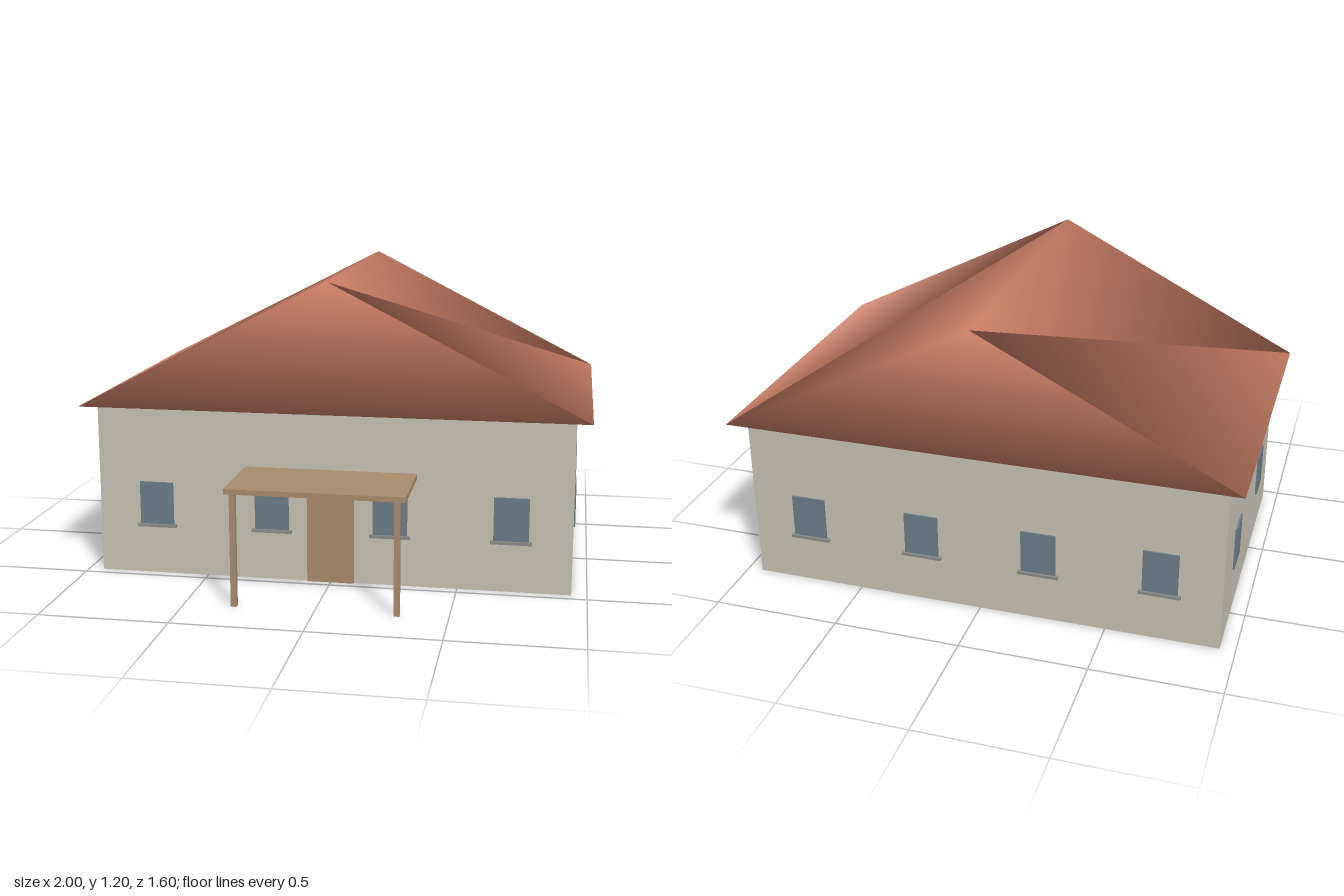
import * as THREE from 'three';

const mat = (color) => new THREE.MeshStandardMaterial({ color });

export function createModel() {
  const house = new THREE.Group();
  house.name = 'house';
  const wall = mat(0xc8c2b4), roofTile = mat(0xc67c63), wood = mat(0xa88c6c);
  const glass = mat(0x6d7d88), stone = mat(0x8c8c8a);

  // Box given by its extents on each axis
  function box(name, material, [x0, x1], [y0, y1], [z0, z1], parent = house) {
    const mesh = new THREE.Mesh(new THREE.BoxGeometry(x1 - x0, y1 - y0, z1 - z0), material);
    mesh.position.set((x0 + x1) / 2, (y0 + y1) / 2, (z0 + z1) / 2);
    mesh.name = name;
    parent.add(mesh);
    return mesh;
  }

  box('walls', wall, [-0.94, 0.94], [0, 0.685], [-0.74, 0.46]);

  // Gable roof: a triangular prism with shared corners for soft shading
  const corners = [];
  for (const z of [0.515, -0.8]) corners.push(-1, 0.685, z, 1, 0.685, z, 0, 1.195, z);
  const prism = new THREE.BufferGeometry();
  prism.setAttribute('position', new THREE.Float32BufferAttribute(corners, 3));
  prism.setIndex([
    0, 1, 2, 4, 3, 5, // gables
    1, 4, 2, 4, 5, 2, // right slope
    0, 2, 5, 0, 5, 3, // left slope
    0, 3, 4, 0, 4, 1, // underside
  ]);
  prism.computeVertexNormals();
  const roof = new THREE.Mesh(prism, roofTile);
  roof.name = 'roof';
  house.add(roof);

  // Front door
  box('door', wood, [-0.093, 0.093], [0, 0.377], [0.455, 0.468]);

  // Window built facing +z, then placed on a wall
  function addWindow(name, x, z, turn, withSill) {
    const win = new THREE.Group();
    win.name = name;
    box('pane', glass, [-0.068, 0.068], [0.205, 0.377], [-0.005, 0.007], win);
    if (withSill) box('sill', stone, [-0.08, 0.08], [0.193, 0.205], [-0.005, 0.015], win);
    win.position.set(x, 0, z);
    win.rotation.y = turn;
    house.add(win);
  }
  for (const x of [-0.705, -0.235, 0.235, 0.705]) {
    addWindow('frontWindow', x, 0.46, 0, true);
    addWindow('backWindow', x, -0.74, Math.PI, true);
  }
  for (const z of [0.16, -0.44]) {
    addWindow('leftWindow', 0.94, z, Math.PI / 2, false);
    addWindow('rightWindow', -0.94, z, -Math.PI / 2, false);
  }

  // Porch canopy on two posts
  const porch = new THREE.Group();
  porch.name = 'porch';
  house.add(porch);
  box('canopy', wood, [-0.34, 0.34], [0.436, 0.456], [0.46, 0.8], porch);
  for (const x of [-0.308, 0.308]) {
    box('post', wood, [x - 0.011, x + 0.011], [0, 0.436], [0.776, 0.798], porch);
  }

  return house;
}
